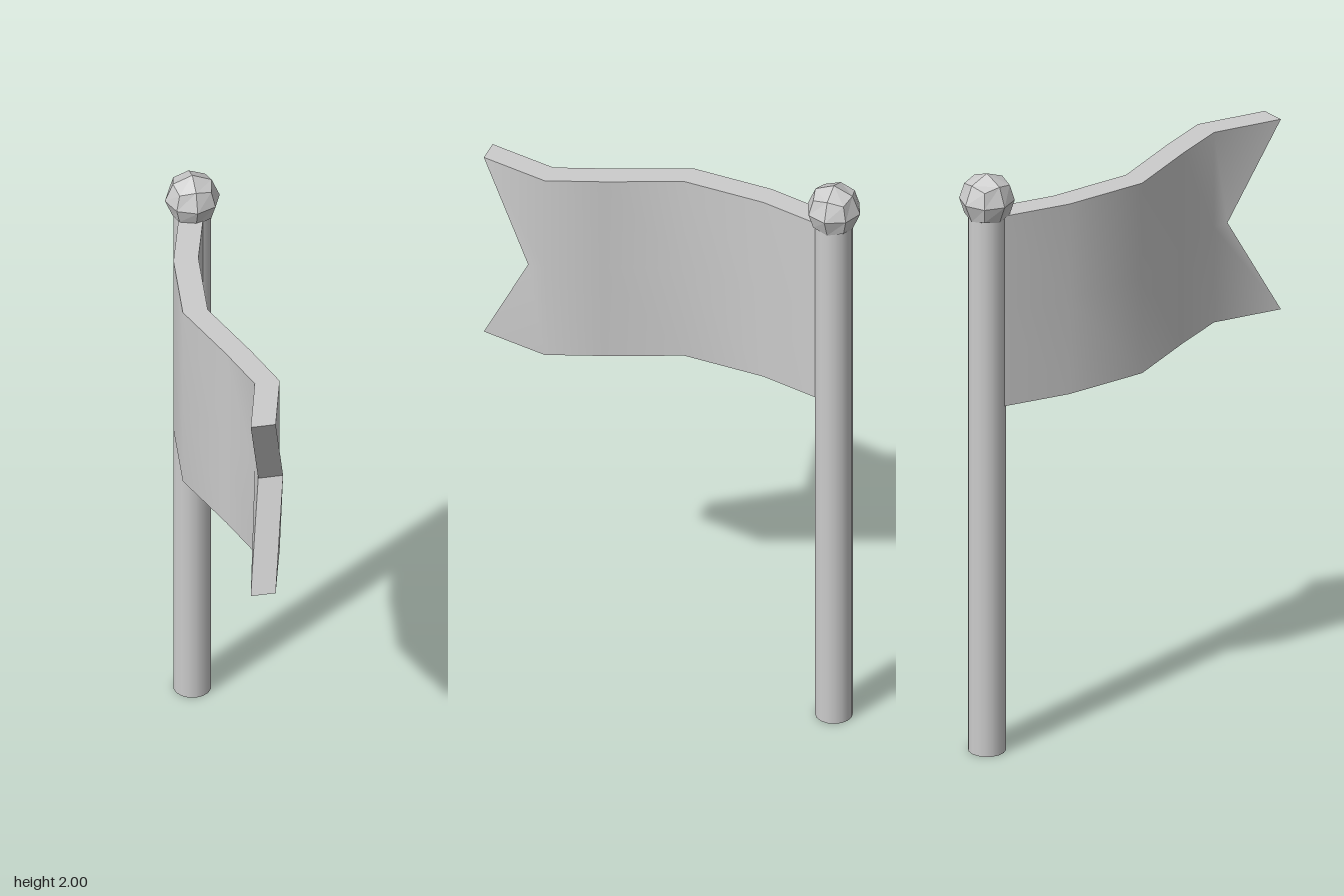
import * as THREE from 'three';

const grey = new THREE.MeshStandardMaterial({ color: 0xcccccc });
const faceted = new THREE.MeshStandardMaterial({ color: 0xcccccc, flatShading: true });

// Smooth sheet through a grid of points: lines[i][j]
function sheet(lines) {
  const n = lines[0].length, index = [];
  for (let i = 0; i < lines.length - 1; i++) {
    for (let j = 0; j < n - 1; j++) {
      const a = i * n + j, b = a + n;
      index.push(a, b, a + 1, b, b + 1, a + 1);
    }
  }
  const g = new THREE.BufferGeometry();
  g.setAttribute('position', new THREE.Float32BufferAttribute(lines.flat(2), 3));
  g.setIndex(index);
  g.computeVertexNormals();
  return g;
}

export function createModel() {
  const group = new THREE.Group();
  const add = (name, geometry, material, parent = group) => {
    const mesh = new THREE.Mesh(geometry, material);
    mesh.name = name;
    parent.add(mesh);
    return mesh;
  };
  const poleX = 0.02, poleZ = -0.537;

  // Pole
  add('pole', new THREE.CylinderGeometry(0.06, 0.06, 1.86, 16), grey).position.set(poleX, 0.93, poleZ);

  // Faceted ball: a divided cube pushed out to a sphere
  const ball = new THREE.BoxGeometry(1, 1, 1, 2, 2, 2);
  const p = ball.attributes.position, v = new THREE.Vector3();
  for (let i = 0; i < p.count; i++) {
    v.fromBufferAttribute(p, i).setLength(0.088);
    p.setXYZ(i, v.x, v.y, v.z);
  }
  add('ball', ball, faceted).position.set(poleX, 1.912, poleZ);

  // Waving flag: centre line (x, z), with a notch in the free end
  const wave = [[0.018, -0.535], [-0.05, -0.29], [-0.075, -0.015], [0.015, 0.225], [0.073, 0.4], [0.015, 0.625]];
  const half = 0.04, heights = [1.2, 1.53, 1.86];
  const column = side => wave.map(([x, z], i) => heights.map((y, j) =>
    i === wave.length - 1 && j === 1 ? [0.073 + side * half, y, 0.455] : [x + side * half, y, z]));
  const right = column(-1), left = column(1);

  const flag = new THREE.Group();
  flag.name = 'flag';
  group.add(flag);
  add('flagRightFace', sheet(right), grey, flag);
  add('flagLeftFace', sheet(left.map(c => [...c].reverse())), grey, flag);
  add('flagTopEdge', sheet(right.map((c, i) => [c[2], left[i][2]])), grey, flag);
  add('flagBottomEdge', sheet(right.map((c, i) => [left[i][0], c[0]])), grey, flag);
  // Both halves of the notched end
  const endR = right.at(-1), endL = left.at(-1);
  for (const j of [0, 1]) {
    add(j ? 'flagUpperEnd' : 'flagLowerEnd',
      sheet([[endR[j], endR[j + 1]], [endL[j], endL[j + 1]]]), grey, flag);
  }
  return group;
}
